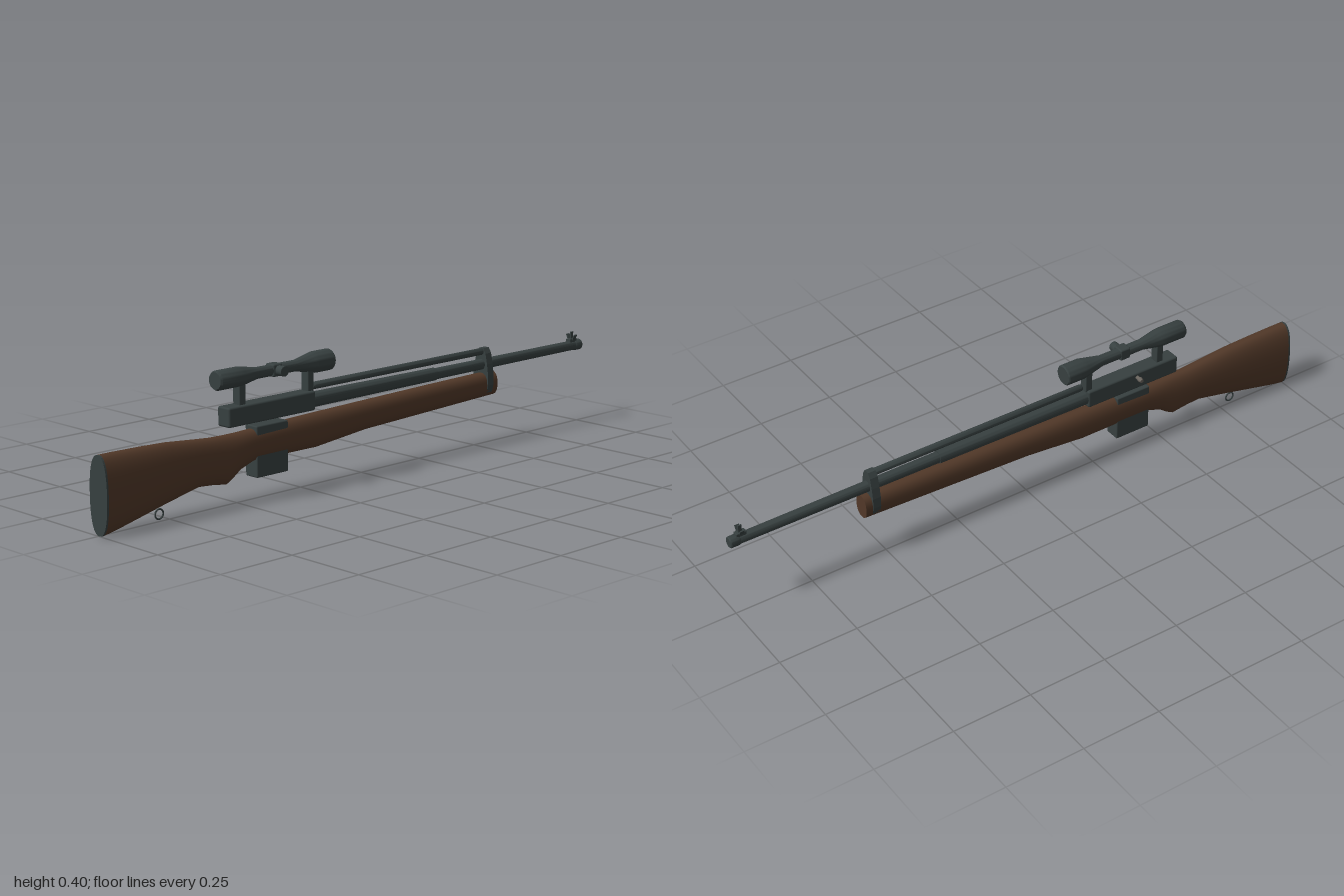
import * as THREE from 'three';
import { RoundedBoxGeometry } from 'three/addons/geometries/RoundedBoxGeometry.js';
import { toCreasedNormals } from 'three/addons/utils/BufferGeometryUtils.js';

const material = (name, color) => {
  const m = new THREE.MeshStandardMaterial({ color });
  m.name = name;
  return m;
};

export function createModel() {
  const metal = material('dark metal', 0x374040);
  const wood = material('walnut wood', 0x513828);
  const steel = material('bolt steel', 0x67625c);
  const root = new THREE.Group();
  root.name = 'rifle';
  root.position.x = 0.004;

  const add = (name, geometry, mat, x = 0, y = 0, z = 0) => {
    const mesh = new THREE.Mesh(geometry, mat);
    mesh.name = name;
    mesh.position.set(x, y, z);
    root.add(mesh);
    return mesh;
  };
  // Box given by its z and y extents, centred on x = 0
  const box = (name, w, y0, y1, z0, z1, r = 0.004) =>
    add(name, new RoundedBoxGeometry(w, y1 - y0, z1 - z0, 2, r), metal, 0, (y0 + y1) / 2, (z0 + z1) / 2);
  // Turned part along z from [radius, z] pairs in rising z, closed at both ends
  const turned = (name, profile, y, mat = metal) => {
    const pts = [[0, profile[0][1]], ...profile, [0, profile[profile.length - 1][1]]];
    const g = new THREE.LatheGeometry(pts.map(([r, z]) => new THREE.Vector2(r, z)), 28);
    return add(name, toCreasedNormals(g.rotateX(Math.PI / 2), 0.6), mat, 0, y, 0);
  };

  // Stock: rounded cross-sections [z, bottom, top, half width]
  const N = 36;
  const sections = [
    [0.994, 0.002, 0.229, 0.0375], [0.95, 0.010, 0.229, 0.0375], [0.85, 0.033, 0.227, 0.036],
    [0.76, 0.054, 0.224, 0.034], [0.65, 0.077, 0.214, 0.031], [0.6, 0.073, 0.210, 0.030],
    [0.55, 0.066, 0.209, 0.030], [0.53, 0.077, 0.209, 0.030], [0.50, 0.099, 0.209, 0.030],
    [0.45, 0.117, 0.211, 0.030], [0.35, 0.117, 0.215, 0.030], [0.2, 0.116, 0.219, 0.030],
    [0, 0.136, 0.223, 0.030], [-0.3, 0.147, 0.229, 0.029], [-0.572, 0.157, 0.233, 0.028],
  ];
  const ring = ([, y0, y1, w]) => Array.from({ length: N }, (_, j) => {
    const a = (j / N) * Math.PI * 2;
    const curve = (v) => Math.sign(v) * Math.pow(Math.abs(v), 2 / 2.4);
    return new THREE.Vector2(w * curve(Math.cos(a)), (y0 + y1) / 2 + ((y1 - y0) / 2) * curve(Math.sin(a)));
  });
  const positions = [];
  const index = [];
  sections.forEach((s, i) => {
    ring(s).forEach((p) => positions.push(p.x, p.y, s[0]));
    if (i === sections.length - 1) return;
    for (let j = 0; j < N; j++) {
      const a = i * N + j;
      const b = i * N + ((j + 1) % N);
      index.push(a, a + N, b, b, a + N, b + N);
    }
  });
  const stock = new THREE.BufferGeometry();
  stock.setAttribute('position', new THREE.Float32BufferAttribute(positions, 3));
  stock.setIndex(index);
  stock.computeVertexNormals();
  add('stock', stock, wood);
  const tip = sections[sections.length - 1];
  add('stockTip', new THREE.ShapeGeometry(new THREE.Shape(ring(tip))).rotateY(Math.PI), wood, 0, 0, tip[0]);
  add('buttPlate', new THREE.ExtrudeGeometry(new THREE.Shape(ring(sections[0])),
    { depth: 0.006, bevelEnabled: false }), metal, 0, 0, 0.994);

  // Receiver, magazine running through the stock
  box('receiver', 0.051, 0.232, 0.290, 0.215, 0.55, 0.006);
  box('magazine', 0.05, 0.069, 0.221, 0.324, 0.446);

  // Barrel, thicker rear sleeve, muzzle and upper tube
  turned('barrel', [[0.0155, -0.975], [0.0175, -0.3], [0.0175, 0.22]], 0.259);
  turned('barrelSleeve', [[0.020, -0.31], [0.023, 0.22]], 0.259);
  turned('muzzle', [[0.015, -1], [0.0175, -0.997], [0.0175, -0.972], [0.0155, -0.968]], 0.259);
  turned('upperTube', [[0.008, -0.54], [0.011, -0.535], [0.011, 0.2], [0.008, 0.205]], 0.3);

  // Band clasping stock, barrel and upper tube
  const half = [[0.013, 0.159], [0.025, 0.172], [0.031, 0.195], [0.031, 0.228], [0.026, 0.262], [0.019, 0.295], [0.009, 0.311]];
  const outline = [...half, ...half.map(([x, y]) => [-x, y]).reverse()].map(([x, y]) => new THREE.Vector2(x, y));
  add('barrelBand', new THREE.ExtrudeGeometry(new THREE.Shape(outline),
    { depth: 0.026, bevelEnabled: false }), metal, 0, 0, -0.55);

  // Front sight with two raised ears
  box('sightBase', 0.018, 0.268, 0.283, -0.978, -0.945, 0.002);
  box('sightPost', 0.005, 0.28, 0.305, -0.968, -0.956, 0.001);
  for (const s of [-1, 1]) {
    const ear = add('sightEar', new THREE.BoxGeometry(0.004, 0.02, 0.014), metal, s * 0.012, 0.287, -0.962);
    ear.rotation.z = -s * 0.5;
  }

  // Telescopic sight
  turned('scope', [[0.029, 0.137], [0.032, 0.141], [0.032, 0.2], [0.029, 0.215], [0.017, 0.275], [0.017, 0.425],
    [0.028, 0.485], [0.029, 0.5], [0.029, 0.574], [0.025, 0.58]], 0.37);
  for (const z of [0.223, 0.489]) {
    box('scopeMount', 0.029, 0.285, 0.358, z - 0.012, z + 0.012, 0.003);
  }
  box('scopeCollar', 0.036, 0.352, 0.389, 0.337, 0.373, 0.005);
  const knob = add('scopeKnob', new THREE.CylinderGeometry(0.015, 0.015, 0.03, 20), metal, 0.0275, 0.37, 0.352);
  knob.rotation.z = Math.PI / 2;

  // Bolt handle on the right side
  const bolt = add('boltHandle', new THREE.CylinderGeometry(0.006, 0.006, 0.03, 16), steel, -0.034, 0.275, 0.395);
  bolt.rotation.z = Math.PI / 2;
  const boltKnob = add('boltKnob', new THREE.CylinderGeometry(0.006, 0.0085, 0.012, 16), steel, -0.045, 0.275, 0.395);
  boltKnob.rotation.z = Math.PI / 2;

  // Sling ring under the butt
  add('slingRing', new THREE.TorusGeometry(0.0145, 0.0025, 8, 24).rotateY(Math.PI / 2), metal, 0, 0.025, 0.79);

  const model = new THREE.Group();
  model.name = 'model';
  model.add(root);
  return model;
}
